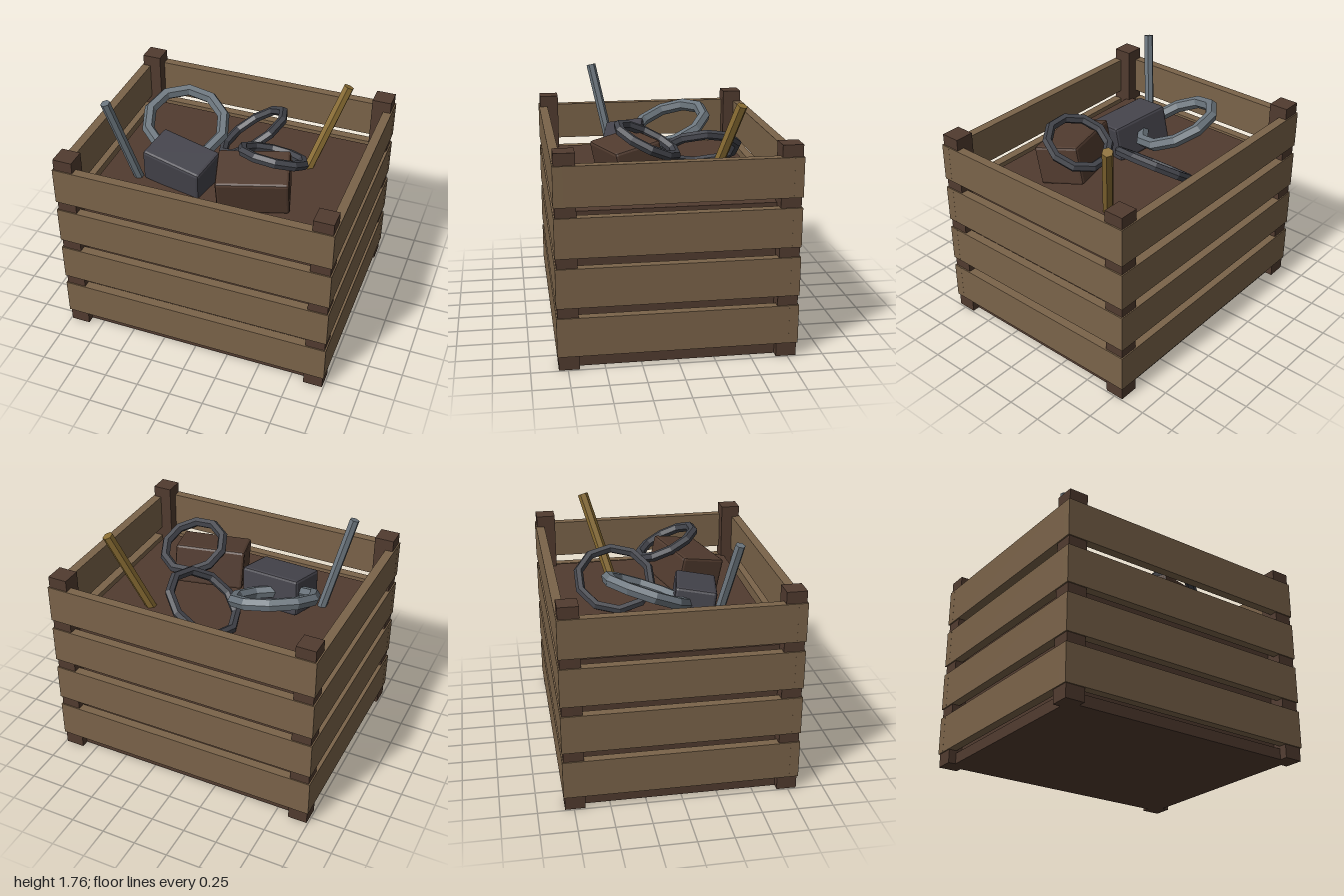
import * as THREE from 'three';
import { RoundedBoxGeometry } from 'three/addons/geometries/RoundedBoxGeometry.js';

const mat = (name, color) => {
  const m = new THREE.MeshStandardMaterial({ color, flatShading: true });
  m.name = name;
  return m;
};

export function createModel() {
  const wood = mat('slat wood', 0x7a6349);
  const darkWood = mat('dark wood', 0x513b2f);
  const steel = mat('grey steel', 0x6b757d);
  const iron = mat('dark iron', 0x42444b);
  const slate = mat('slate metal', 0x45444c);
  const brass = mat('brass', 0x8a6d33);

  const model = new THREE.Group();
  model.name = 'crateOfScrap';
  const add = (name, geometry, material, x = 0, y = 0, z = 0) => {
    const mesh = new THREE.Mesh(geometry, material);
    mesh.name = name;
    mesh.position.set(x, y, z);
    model.add(mesh);
    return mesh;
  };

  // Floor and the solid filling that carries the loose pieces
  add('floor', new THREE.BoxGeometry(1.87, 0.08, 1.51), darkWood, 0, 0.04, 0);
  add('filling', new THREE.BoxGeometry(1.78, 1.07, 1.4), darkWood, 0, 0.54, 0);

  // Corner posts
  for (const sx of [-1, 1]) for (const sz of [-1, 1])
    add('cornerPost', new THREE.BoxGeometry(0.14, 1.49, 0.14), darkWood, sx * 0.92, 0.745, sz * 0.742);

  // Four rows of slats on every side
  for (let row = 0; row < 4; row++) {
    const y = 0.235 + row * 0.345;
    for (const s of [-1, 1]) {
      add('longSlat', new THREE.BoxGeometry(2, 0.274, 0.065), wood, 0, y, s * 0.788);
      add('shortSlat', new THREE.BoxGeometry(0.065, 0.274, 1.512), wood, s * 0.967, y, 0);
    }
  }

  // Rings, tilted by their rise along x and z
  const up = new THREE.Vector3(0, 1, 0);
  const ring = (name, material, radius, tube, position, riseX, riseZ) => {
    const g = new THREE.TorusGeometry(radius, tube, 6, 10).rotateX(Math.PI / 2);
    const mesh = add(name, g, material, ...position);
    mesh.quaternion.setFromUnitVectors(up, new THREE.Vector3(-riseX, 1, -riseZ).normalize());
  };
  ring('steelRing', steel, 0.285, 0.046, [-0.415, 1.33, -0.15], -0.23, -0.38);
  ring('backRing', iron, 0.27, 0.035, [0.055, 1.25, -0.31], 0.7, 0);
  ring('frontRing', iron, 0.225, 0.036, [0.355, 1.4, 0.125], -0.08, 0.48);

  // Chamfered blocks
  const block = (name, material, size, position, rotation) => {
    const mesh = add(name, new RoundedBoxGeometry(...size, 1, 0.02), material, ...position);
    mesh.rotation.set(...rotation, 'YXZ');
  };
  block('slateBlock', slate, [0.47, 0.27, 0.29], [-0.31, 1.2, 0.2], [0.14, -0.2, -0.1]);
  block('woodBlock', darkWood, [0.51, 0.29, 0.34], [0.26, 1.24, 0.25], [0.2, 0.28, 0.04]);

  // Leaning six-sided rods
  const rod = (name, material, radius, from, to) => {
    const a = new THREE.Vector3(...from), b = new THREE.Vector3(...to);
    const mid = a.clone().add(b).multiplyScalar(0.5);
    const mesh = add(name, new THREE.CylinderGeometry(radius, radius, a.distanceTo(b), 6), material, mid.x, mid.y, mid.z);
    mesh.quaternion.setFromUnitVectors(up, b.sub(a).normalize());
  };
  rod('steelRod', steel, 0.035, [-0.61, 1.03, 0.26], [-0.77, 1.75, 0.41]);
  rod('brassRod', brass, 0.039, [0.49, 1.03, -0.265], [0.715, 1.7, -0.46]);

  return model;
}
